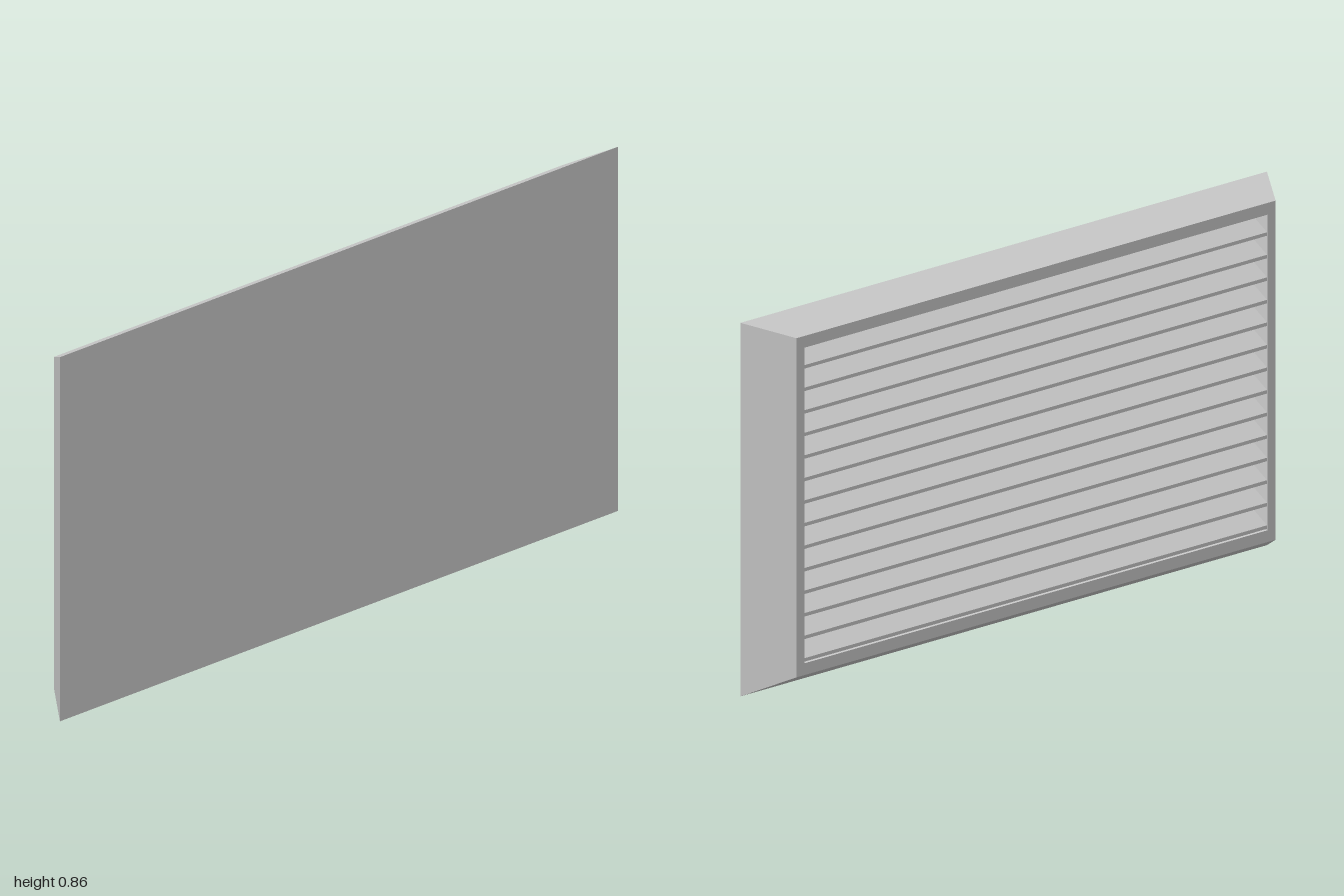
import * as THREE from 'three';

const material = new THREE.MeshStandardMaterial({ color: 0xcccccc, flatShading: true });
const MID = 0.4285; // height of the panel centre

// Rectangular ring of four corners at depth x, as seen from the -x side
function ring(x, halfZ, halfY) {
  return [[-1, -1], [1, -1], [1, 1], [-1, 1]].map(([z, y]) => [x, MID + y * halfY, z * halfZ]);
}

// Joins successive rings with quads and caps both ends
function loftRings(rings) {
  const pos = [];
  const quad = (a, b, c, d) => pos.push(...a, ...b, ...c, ...a, ...c, ...d);
  for (let r = 0; r < rings.length - 1; r++) {
    for (let i = 0; i < 4; i++) {
      const j = (i + 1) % 4;
      quad(rings[r][i], rings[r][j], rings[r + 1][j], rings[r + 1][i]);
    }
  }
  const first = rings[0], last = rings[rings.length - 1];
  quad(first[3], first[2], first[1], first[0]);
  quad(last[0], last[1], last[2], last[3]);
  const geo = new THREE.BufferGeometry();
  geo.setAttribute('position', new THREE.Float32BufferAttribute(pos, 3));
  geo.computeVertexNormals();
  return geo;
}

export function createModel() {
  const model = new THREE.Group();
  model.name = 'louverPanel';

  // Bevelled housing: flat back, tapered sides, front border and recess
  const innerZ = 0.88, innerY = 0.362;
  const housing = new THREE.Mesh(loftRings([
    ring(0.045, 1, 0.4285),
    ring(-0.045, 0.91, 0.389),
    ring(-0.045, innerZ, innerY),
    ring(0.03, innerZ, innerY),
  ]), material);
  housing.name = 'housing';
  model.add(housing);

  // Sloping slats, low at the front and rising into the recess
  const count = 14, pitch = (2 * innerY) / count, thick = 0.008;
  const profile = new THREE.Shape([
    new THREE.Vector2(-0.043, 0),
    new THREE.Vector2(0.005, 0.04),
    new THREE.Vector2(0.005, 0.04 + thick),
    new THREE.Vector2(-0.043, thick),
  ]);
  const slatGeo = new THREE.ExtrudeGeometry(profile, { depth: 2 * innerZ, bevelEnabled: false });
  slatGeo.translate(0, 0, -innerZ);
  const slats = new THREE.Group();
  slats.name = 'slats';
  for (let i = 0; i < count; i++) {
    const slat = new THREE.Mesh(slatGeo, material);
    slat.name = 'slat';
    slat.position.y = MID - innerY + 0.003 + i * pitch;
    slats.add(slat);
  }
  model.add(slats);
  return model;
}
